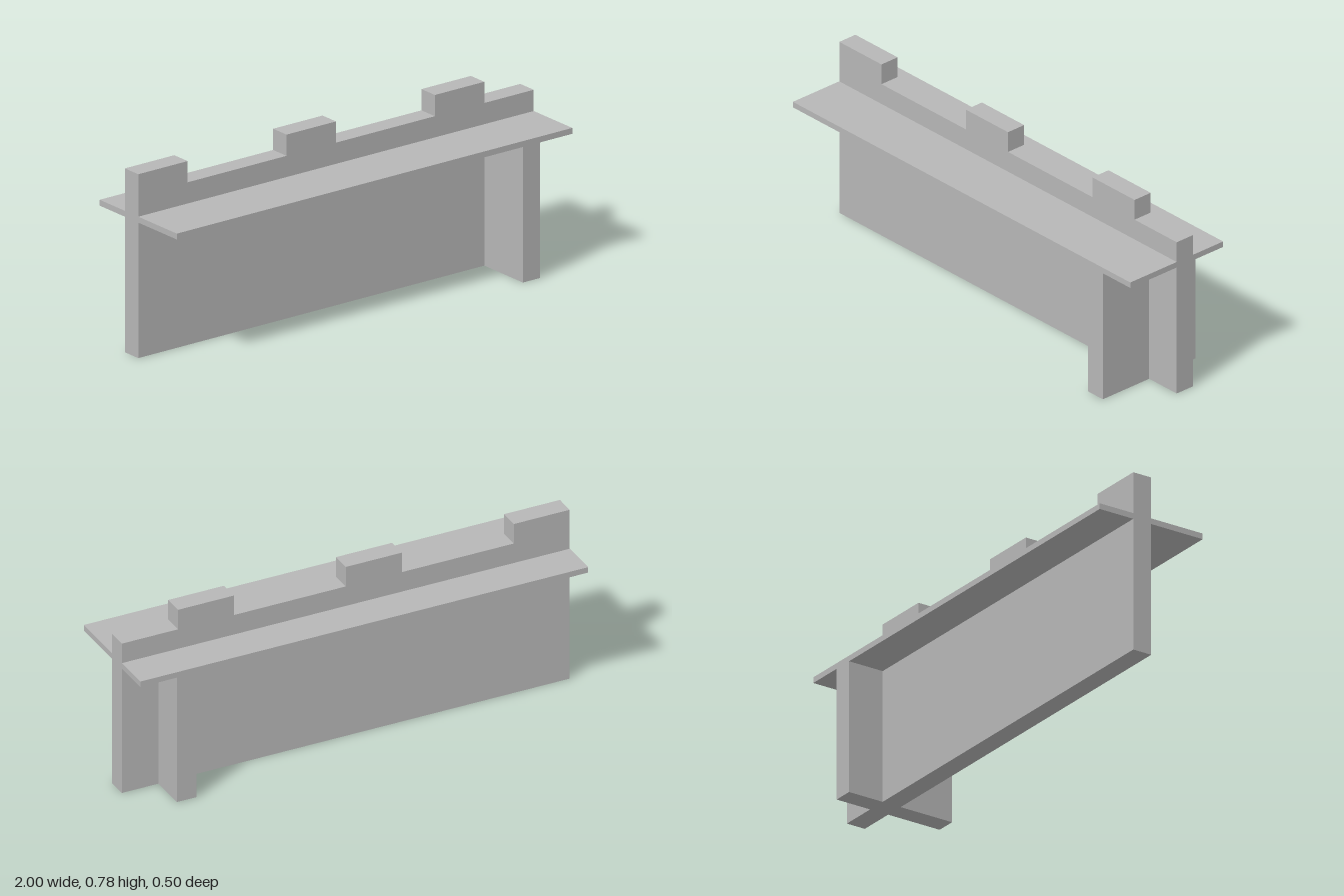
import * as THREE from 'three';

export function createModel() {
  const group = new THREE.Group();
  const stone = new THREE.MeshStandardMaterial({ color: 0xb6b6b6 });
  stone.name = 'grey stone';

  const add = (name, geometry, x, y, z) => {
    const mesh = new THREE.Mesh(geometry, stone);
    mesh.name = name;
    mesh.position.set(x, y, z);
    group.add(mesh);
  };

  const thickness = 0.087, wallTop = 0.69, merlonTop = 0.78;
  const floor = 0.575, floorTop = 0.6, halfDepth = 0.25;

  // Long wall with its battlements, cut from one outline
  const outline = new THREE.Shape();
  outline.moveTo(-1, 0);
  outline.lineTo(1, 0);
  outline.lineTo(1, wallTop);
  for (const [right, left] of [[0.75, 0.5], [0, -0.25], [-0.75, -1]]) {
    outline.lineTo(right, wallTop);
    outline.lineTo(right, merlonTop);
    outline.lineTo(left, merlonTop);
    if (left > -1) outline.lineTo(left, wallTop);
  }
  outline.closePath();
  add('battlementWall', new THREE.ExtrudeGeometry(outline, { depth: thickness, bevelEnabled: false }), 0, 0, -thickness);

  // Walkway slabs and cross wall halves on both faces of the long wall
  const sides = [['front', 0, halfDepth], ['back', -halfDepth, -thickness]];
  for (const [side, z0, z1] of sides) {
    const depth = z1 - z0, z = (z0 + z1) / 2;
    add(side + 'Walkway', new THREE.BoxGeometry(2, floorTop - floor, depth), 0, (floor + floorTop) / 2, z);
    add(side + 'CrossWall', new THREE.BoxGeometry(thickness, floor, depth), 0.75 + thickness / 2, floor / 2, z);
  }

  return group;
}
